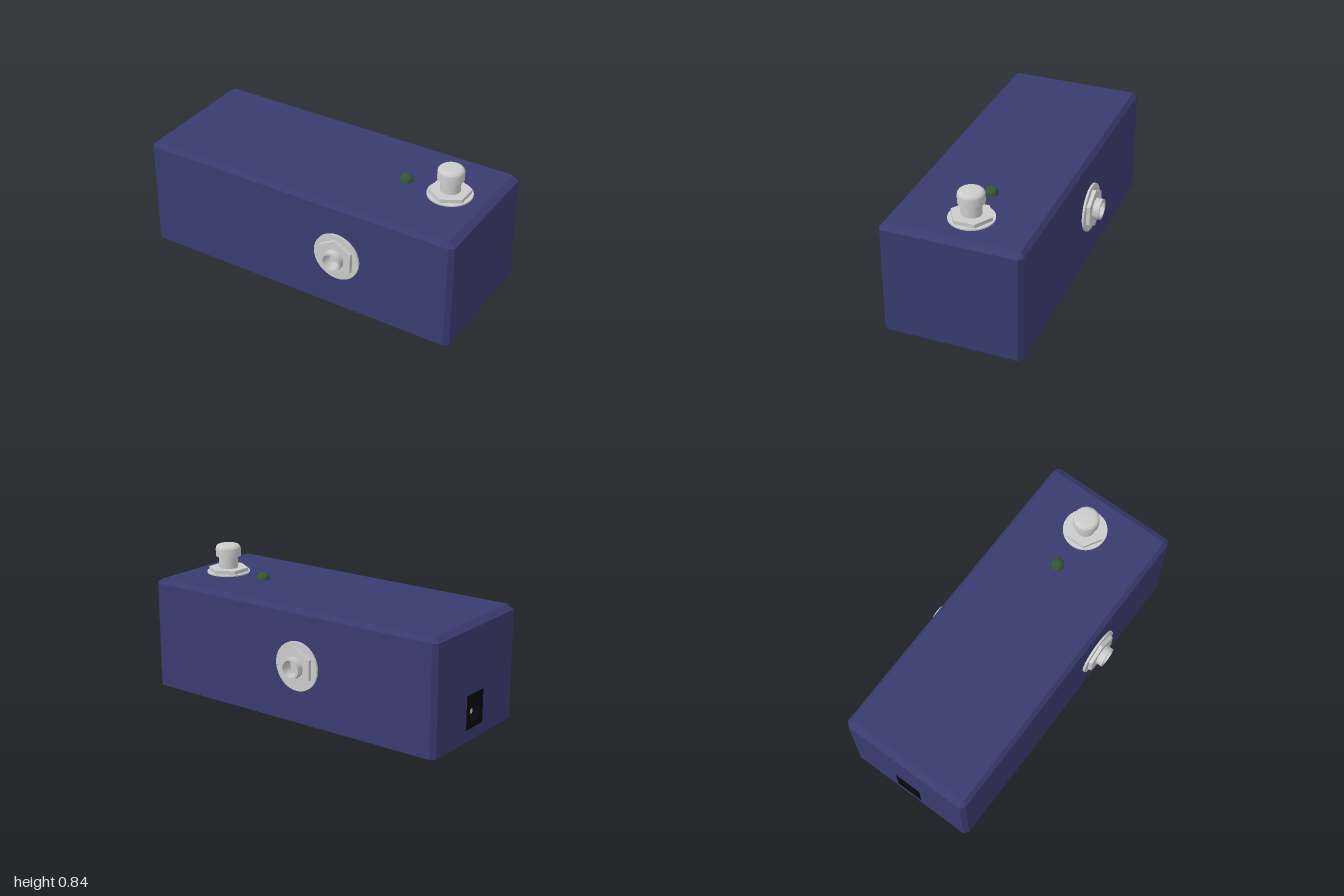
import * as THREE from 'three';
import { toCreasedNormals } from 'three/addons/utils/BufferGeometryUtils.js';

const metal = new THREE.MeshStandardMaterial({ color: 0xcccccc });
const paint = new THREE.MeshStandardMaterial({ color: 0x393b70 });
const green = new THREE.MeshStandardMaterial({ color: 0x355536 });
const black = new THREE.MeshStandardMaterial({ color: 0x080808 });

const H = 0.672, SHOULDER = 0.645, X = 0.998, Z = 0.41;

function add(parent, name, geometry, material) {
  const mesh = new THREE.Mesh(geometry, material);
  mesh.name = name;
  parent.add(mesh);
  return mesh;
}

// Turned part around y; profile of [radius, height], outer side listed upwards
function turned(profile, sides = 40) {
  const pts = profile.map(([r, y]) => new THREE.Vector2(r, y));
  return toCreasedNormals(new THREE.LatheGeometry(pts, sides), 0.6);
}

// Flat ring with square edges; six sides make a nut
function ring(outer, inner, y0, y1, sides) {
  return turned([[inner, y0], [outer, y0], [outer, y1], [inner, y1]], sides);
}

function rectPath(path, x0, y0, x1, y1) {
  path.moveTo(x0, y0);
  path.lineTo(x1, y0);
  path.lineTo(x1, y1);
  path.lineTo(x0, y1);
  path.closePath();
  return path;
}

// Rectangle with cut corners, counter-clockwise from above
function section(x, z, cx, cz, y) {
  return [[-x + cx, z], [x - cx, z], [x, z - cz], [x, -z + cz],
    [x - cx, -z], [-x + cx, -z], [-x, -z + cz], [-x, z - cz]].map(([a, b]) => [a, y, b]);
}

// Chamfered shell; its left wall is left out for the power socket
function shellGeometry() {
  const low = section(X, Z, 0.028, 0.023, 0);
  const mid = section(X, Z, 0.028, 0.023, SHOULDER);
  const top = section(X - 0.04, Z - 0.023, 0.006, 0.006, H);
  const v = [];
  const tri = (a, b, c) => v.push(...a, ...b, ...c);
  [[low, mid], [mid, top]].forEach(([p, q], band) => {
    for (let i = 0; i < 8; i++) {
      if (band === 0 && i === 6) continue;
      const j = (i + 1) % 8;
      tri(p[i], p[j], q[j]);
      tri(p[i], q[j], q[i]);
    }
  });
  for (let i = 1; i < 7; i++) {
    tri(top[0], top[i], top[i + 1]);
    tri(low[0], low[i + 1], low[i]);
  }
  const g = new THREE.BufferGeometry();
  g.setAttribute('position', new THREE.Float32BufferAttribute(v, 3));
  g.computeVertexNormals();
  return g;
}

// Audio socket pointing along +y
function audioJack(name) {
  const g = new THREE.Group();
  g.name = name;
  add(g, 'washer', ring(0.145, 0.055, 0, 0.013), metal);
  add(g, 'nut', ring(0.12, 0.06, 0.013, 0.035, 6), metal);
  add(g, 'barrel', turned([[0.062, 0], [0.062, 0.075], [0.048, 0.075], [0.048, 0.004], [0, 0.004]]), metal);
  return g;
}

// Foot switch with rounded cap
function footSwitch() {
  const g = new THREE.Group();
  g.name = 'footSwitch';
  add(g, 'washer', ring(0.13, 0.05, 0, 0.008), metal);
  add(g, 'nut', ring(0.121, 0.05, 0.008, 0.03, 6), metal);
  add(g, 'stem', new THREE.CylinderGeometry(0.058, 0.058, 0.11, 40).translate(0, 0.055, 0), metal);
  const cap = [[0, 0.103], [0.076, 0.103], [0.076, 0.148]];
  for (let i = 1; i <= 6; i++) {
    const a = (i / 6) * Math.PI / 2;
    cap.push([0.05 + 0.026 * Math.cos(a), 0.148 + 0.025 * Math.sin(a)]);
  }
  cap.push([0, 0.173]);
  add(g, 'cap', turned(cap), metal);
  return g;
}

// Left wall and power socket, drawn facing +z and turned to face -x
function leftEnd() {
  const g = new THREE.Group();
  g.name = 'leftEnd';
  const wall = rectPath(new THREE.Shape(), -Z + 0.023, 0, Z - 0.023, SHOULDER);
  wall.holes.push(rectPath(new THREE.Path(), -0.088, 0.07, 0.08, 0.268));
  add(g, 'leftWall', new THREE.ShapeGeometry(wall), paint);

  const plate = rectPath(new THREE.Shape(), -0.088, 0.07, 0.08, 0.268);
  plate.holes.push(new THREE.Path().absarc(-0.004, 0.155, 0.055, 0, Math.PI * 2, true));
  const block = new THREE.ExtrudeGeometry(plate, { depth: 0.08, bevelEnabled: false, curveSegments: 24 });
  add(g, 'powerSocket', block, black).position.z = -0.078;
  add(g, 'socketFloor', new THREE.CircleGeometry(0.06, 24), black).position.set(-0.004, 0.155, -0.07);
  const pin = add(g, 'socketPin', new THREE.CylinderGeometry(0.014, 0.014, 0.05, 16), metal);
  pin.rotation.x = Math.PI / 2;
  pin.position.set(-0.004, 0.155, -0.045);

  g.rotation.y = -Math.PI / 2;
  g.position.x = -X;
  return g;
}

export function createModel() {
  const model = new THREE.Group();
  model.name = 'effectPedal';

  add(model, 'enclosure', shellGeometry(), paint);
  model.add(leftEnd());

  const frontJack = audioJack('frontJack');
  frontJack.rotation.x = Math.PI / 2;
  frontJack.position.set(0.29, 0.342, Z);
  const backJack = audioJack('backJack');
  backJack.rotation.x = -Math.PI / 2;
  backJack.position.set(-0.087, 0.342, -Z);

  const pedal = footSwitch();
  pedal.position.set(0.75, H, -0.027);
  model.add(frontJack, backJack, pedal);

  // Indicator lamp, half sunk in the top
  const lamp = add(model, 'lamp', new THREE.SphereGeometry(0.04, 24, 16), green);
  lamp.position.set(0.476, H, -0.027);

  return model;
}
